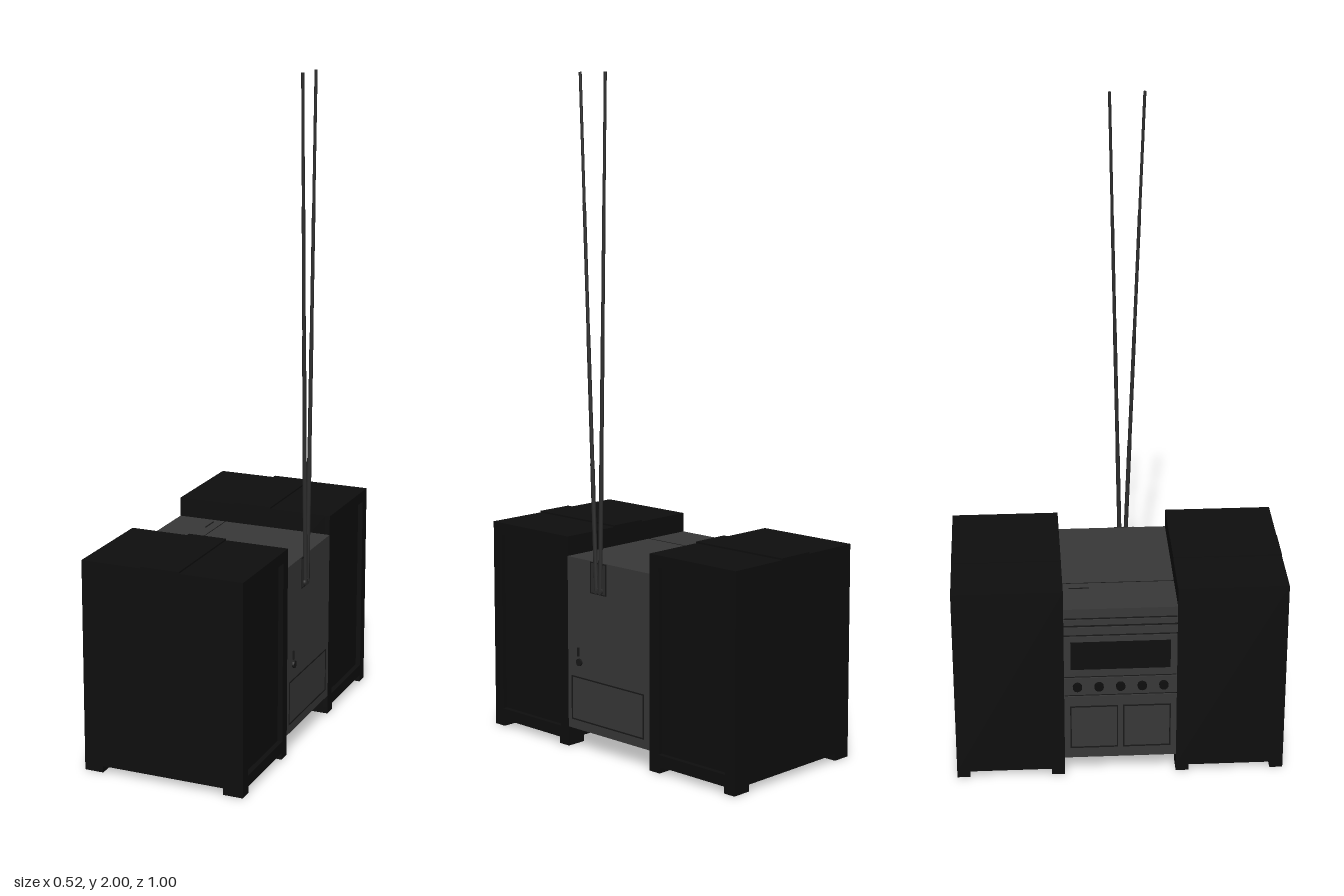
import * as THREE from 'three';

const mat = (color) => new THREE.MeshStandardMaterial({ color });
const black = mat(0x0e0e0e), grey = mat(0x383838), dark = mat(0x181818), metal = mat(0x2c2c2c);

const XF = -0.255, XB = 0.245; // control face and rear face

function add(parent, name, geometry, material, x = 0, y = 0, z = 0) {
  const mesh = new THREE.Mesh(geometry, material);
  mesh.name = name;
  mesh.position.set(x, y, z);
  parent.add(mesh);
  return mesh;
}

// Box given by its limits on each axis
function block(parent, name, material, [x0, x1], [y0, y1], [z0, z1]) {
  return add(parent, name, new THREE.BoxGeometry(x1 - x0, y1 - y0, z1 - z0), material,
    (x0 + x1) / 2, (y0 + y1) / 2, (z0 + z1) / 2);
}

// Rectangular rim lying in the z-y plane, extruded toward +x from the origin
function rim(w, h, border, depth) {
  const rect = (T, a, b) => {
    const p = new T();
    p.moveTo(-a, -b).lineTo(a, -b).lineTo(a, b).lineTo(-a, b).closePath();
    return p;
  };
  const s = rect(THREE.Shape, w / 2, h / 2);
  s.holes.push(rect(THREE.Path, w / 2 - border, h / 2 - border));
  return new THREE.ExtrudeGeometry(s, { depth, bevelEnabled: false }).rotateY(Math.PI / 2);
}

// Round control or socket with its axis along x
function knob(parent, name, r, depth, material, x, y, z) {
  return add(parent, name, new THREE.CylinderGeometry(r, r, depth, 16).rotateZ(Math.PI / 2), material, x, y, z);
}

function speaker(name, side) {
  const g = new THREE.Group();
  g.name = name;
  const zc = side * 0.335, w = 0.33;
  // Cabinet with a recessed rear panel
  block(g, 'cabinet', black, [XF, XB - 0.015], [0.02, 0.642], [zc - w / 2, zc + w / 2]);
  add(g, 'rearRim', rim(w, 0.622, 0.035, 0.015), black, XB - 0.015, 0.331, zc);
  // Raised strip over the lid
  block(g, 'topStrip', black, [-0.07, 0.05], [0.64, 0.647], [zc - w / 2, zc + w / 2]);
  // Corner feet
  for (const x of [[XF, -0.197], [0.183, XB]])
    for (const s of [-1, 1]) {
      const a = zc + s * w / 2, b = a - s * 0.04;
      block(g, 'foot', black, x, [0, 0.021], [Math.min(a, b), Math.max(a, b)]);
    }
  return g;
}

function receiver() {
  const g = new THREE.Group();
  g.name = 'receiver';
  block(g, 'body', grey, [XF + 0.006, XB], [0.06, 0.583], [-0.17, 0.17]);

  // Top seam and slot
  block(g, 'topSeam', dark, [-0.102, -0.1], [0.58, 0.584], [-0.17, 0.17]);
  block(g, 'topSlot', dark, [-0.134, -0.131], [0.58, 0.585], [-0.15, -0.088]);

  // Control face: stacked fascia bands with dark gaps between them
  for (const [y0, y1] of [[0.553, 0.583], [0.528, 0.546], [0.495, 0.52], [0.35, 0.488], [0.285, 0.344], [0.06, 0.279]])
    block(g, 'fasciaBand', grey, [XF, XF + 0.007], [y0, y1], [-0.17, 0.17]);
  block(g, 'fasciaGap', dark, [XF + 0.004, XF + 0.007], [0.07, 0.57], [-0.169, 0.169]);
  block(g, 'displayWindow', black, [XF - 0.002, XF], [0.375, 0.47], [-0.15, 0.15]);
  for (let i = 0; i < 5; i++)
    knob(g, 'controlKnob', 0.014, 0.012, black, XF - 0.004, 0.315, -0.13 + i * 0.065);
  for (const s of [-1, 1])
    add(g, 'cassetteDoor', rim(0.145, 0.15, 0.004, 0.002), dark, XF - 0.002, 0.17, s * 0.08);

  // Rear hatch outline, socket and slider
  add(g, 'rearHatchOutline', rim(0.302, 0.135, 0.004, 0.0015), dark, XB, 0.155, 0.004);
  knob(g, 'rearSocket', 0.011, 0.008, dark, XB + 0.002, 0.268, 0.12);
  block(g, 'rearSlider', dark, [XB, XB + 0.004], [0.285, 0.312], [0.122, 0.128]);
  return g;
}

function aerial() {
  const g = new THREE.Group();
  g.name = 'aerial';
  block(g, 'aerialMount', metal, [XB, XB + 0.003], [0.487, 0.582], [0.004, 0.07]);
  add(g, 'mountOutline', rim(0.066, 0.095, 0.003, 0.004), dark, XB, 0.5345, 0.037);
  // Two telescopic rods, each in narrowing sections
  for (const [z0, z1] of [[0.043, 0.098], [0.027, -0.004]]) {
    const from = new THREE.Vector3(XB + 0.005, 0.5, z0);
    const to = new THREE.Vector3(XB + 0.005, 2, z1);
    const dir = to.clone().sub(from).normalize();
    for (let i = 0; i < 4; i++) {
      const a = from.clone().lerp(to, i / 4), b = from.clone().lerp(to, (i + 1) / 4);
      const r = 0.0065 - i * 0.0007;
      const rod = add(g, 'aerialRod', new THREE.CylinderGeometry(r, r, a.distanceTo(b), 10), metal);
      rod.position.copy(a).add(b).multiplyScalar(0.5);
      rod.quaternion.setFromUnitVectors(new THREE.Vector3(0, 1, 0), dir);
    }
    knob(g, 'aerialPivot', 0.01, 0.008, metal, XB + 0.005, 0.5, z0);
  }
  return g;
}

export function createModel() {
  const model = new THREE.Group();
  model.name = 'stereoSystem';
  model.add(receiver(), speaker('speakerNear', 1), speaker('speakerFar', -1), aerial());
  return model;
}
